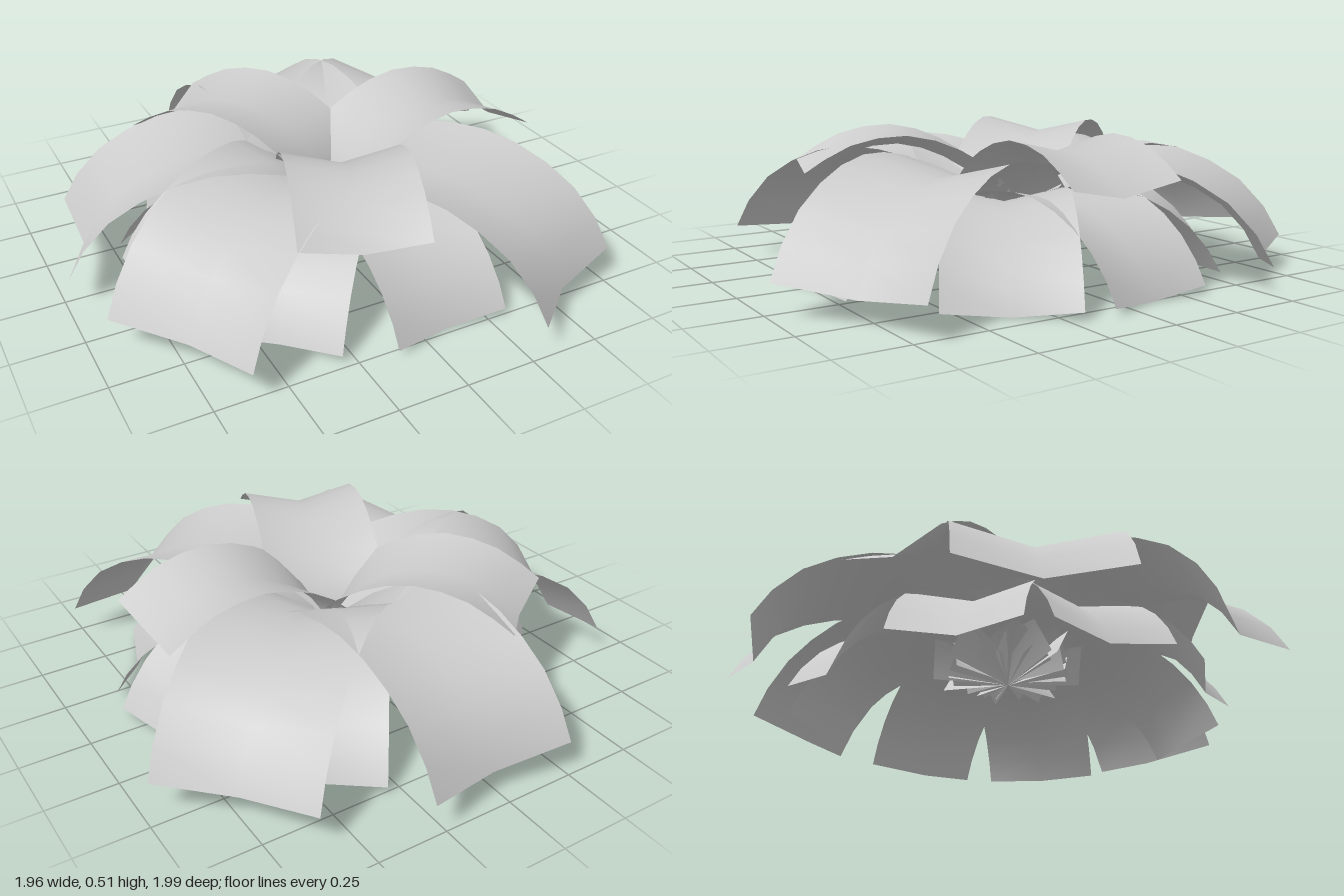
import * as THREE from 'three';

const material = new THREE.MeshStandardMaterial({ color: 0xcccccc, side: THREE.DoubleSide });

// Arching leaf along +x: a midrib curve, with both rims raised along its normal (V crease).
function leafGeometry(midrib, halfWidth, crease, segments = 10) {
  const curve = new THREE.SplineCurve(midrib.map(([x, y]) => new THREE.Vector2(x, y)));
  const positions = [], index = [];
  for (let i = 0; i <= segments; i++) {
    const p = curve.getPointAt(i / segments);
    const t = curve.getTangentAt(i / segments);
    for (const side of [-1, 0, 1]) {
      const lift = Math.abs(side) * crease;
      positions.push(p.x - t.y * lift, p.y + t.x * lift, side * halfWidth);
    }
  }
  for (let i = 0; i < segments; i++) {
    for (let j = 0; j < 2; j++) {
      const a = i * 3 + j, b = a + 1, c = a + 3, d = a + 4;
      index.push(a, b, c, b, d, c);
    }
  }
  const geometry = new THREE.BufferGeometry();
  geometry.setAttribute('position', new THREE.Float32BufferAttribute(positions, 3));
  geometry.setIndex(index);
  geometry.computeVertexNormals();
  return geometry;
}

// Three whorls; angles in degrees run from +x towards +z.
const whorls = [
  {
    name: 'upperLeaf', halfWidth: 0.215, crease: 0.05,
    angles: [0, 109.3, 232.6],
    midrib: [[0, 0.15], [0.05, 0.27], [0.17, 0.385], [0.36, 0.458], [0.55, 0.435], [0.705, 0.345]],
  },
  {
    name: 'middleLeaf', halfWidth: 0.277, crease: 0.067,
    angles: [60, 146.5, 193.5, 268.3, 319.2],
    midrib: [[0, 0.14], [0.07, 0.25], [0.22, 0.345], [0.42, 0.38], [0.58, 0.365], [0.75, 0.295], [0.86, 0.2], [0.932, 0.08]],
  },
  {
    name: 'lowerLeaf', halfWidth: 0.22, crease: 0.05,
    angles: [30.5, 86, 131, 174, 212.4, 255.4, 304.6, 351.2],
    midrib: [[0, 0.14], [0.06, 0.21], [0.2, 0.27], [0.38, 0.275], [0.54, 0.215], [0.66, 0.115], [0.73, 0]],
  },
];

export function createModel() {
  const model = new THREE.Group();
  model.name = 'leafRosette';
  for (const { name, halfWidth, crease, angles, midrib } of whorls) {
    const geometry = leafGeometry(midrib, halfWidth, crease);
    angles.forEach((angle, i) => {
      const leaf = new THREE.Mesh(geometry, material);
      leaf.name = `${name}${i + 1}`;
      leaf.position.x = 0.043;
      leaf.rotation.y = -THREE.MathUtils.degToRad(angle);
      model.add(leaf);
    });
  }
  return model;
}
